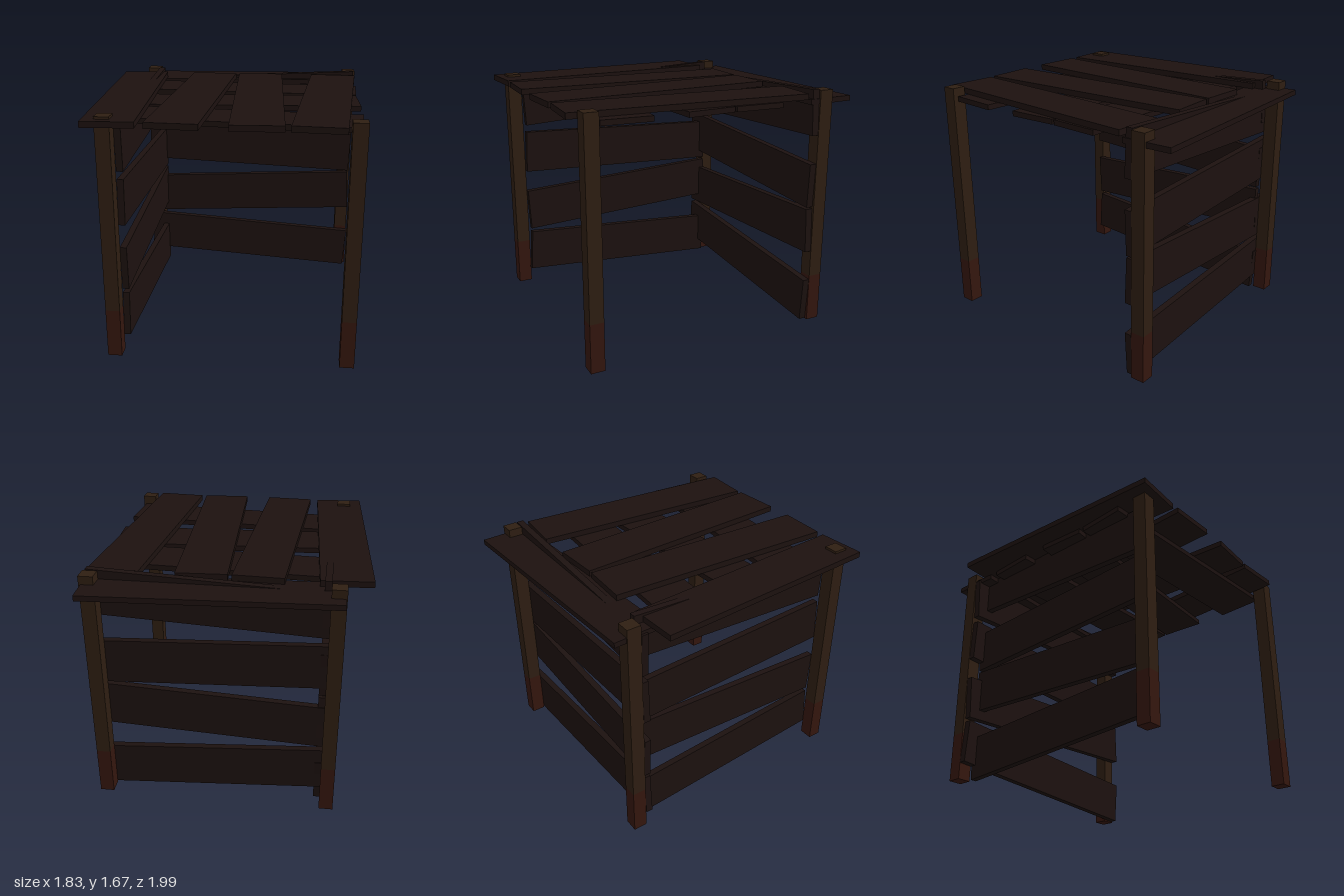
import * as THREE from 'three';

const PLANK = new THREE.MeshStandardMaterial({ color: 0x1c110f });
const POST = new THREE.MeshStandardMaterial({ color: 0x2e1e12 });
const POST_FOOT = new THREE.MeshStandardMaterial({ color: 0x34160e });

function box(name, parent, material, size, position) {
  const mesh = new THREE.Mesh(new THREE.BoxGeometry(...size), material);
  mesh.name = name;
  mesh.position.set(...position);
  parent.add(mesh);
  return mesh;
}

function group(name, parent) {
  const g = new THREE.Group();
  g.name = name;
  parent.add(g);
  return g;
}

export function createModel() {
  const model = new THREE.Group();
  model.name = 'plankShelter';

  // Four square corner posts with darker, damp feet
  const posts = group('posts', model);
  const postW = 0.097, postH = 1.667, footH = 0.34;
  for (const x of [-0.702, 0.863]) {
    for (const z of [-0.783, 0.883]) {
      const post = group('cornerPost', posts);
      box('postFoot', post, POST_FOOT, [postW, footH, postW], [x, footH / 2, z]);
      box('postShaft', post, POST, [postW, postH - footH, postW], [x, (postH + footH) / 2, z]);
    }
  }

  // Crooked wall planks: [centre height, slope]; both walls share the pattern
  const wallRows = [[0.216, -0.067], [0.646, 0.05], [1.044, -0.041], [1.478, 0.051]];
  const backWall = group('backWall', model);
  const sideWall = group('sideWall', model);
  for (const [y, slope] of wallRows) {
    const tilt = Math.atan(slope);
    box('backWallPlank', backWall, PLANK, [1.65, 0.31, 0.048], [0.08, y, -0.708])
      .rotation.z = tilt;
    box('sideWallPlank', sideWall, PLANK, [0.045, 0.31, 1.56], [-0.632, y, 0.05])
      .rotation.x = tilt;
  }

  // Lower roof layer, running side to side: [centre z, slope of z along x]
  const lowerRoof = group('lowerRoof', model);
  for (const [z, slope] of [[-0.79, -0.05], [-0.31, 0.047], [0.125, -0.054], [0.595, 0.07]]) {
    box('roofCrossPlank', lowerRoof, PLANK, [1.64, 0.036, 0.337], [0.08, 1.593, z])
      .rotation.y = -Math.atan(slope);
  }

  // Upper roof layer, running front to back: [centre x, slope of x along z]
  const upperRoof = group('upperRoof', model);
  for (const [x, slope] of [[-0.702, 0.0545], [-0.23, -0.045], [0.21, 0.05], [0.68, -0.072]]) {
    box('roofPlank', upperRoof, PLANK, [0.337, 0.04, 1.64], [x, 1.631, 0.165])
      .rotation.y = Math.atan(slope);
  }

  return model;
}
